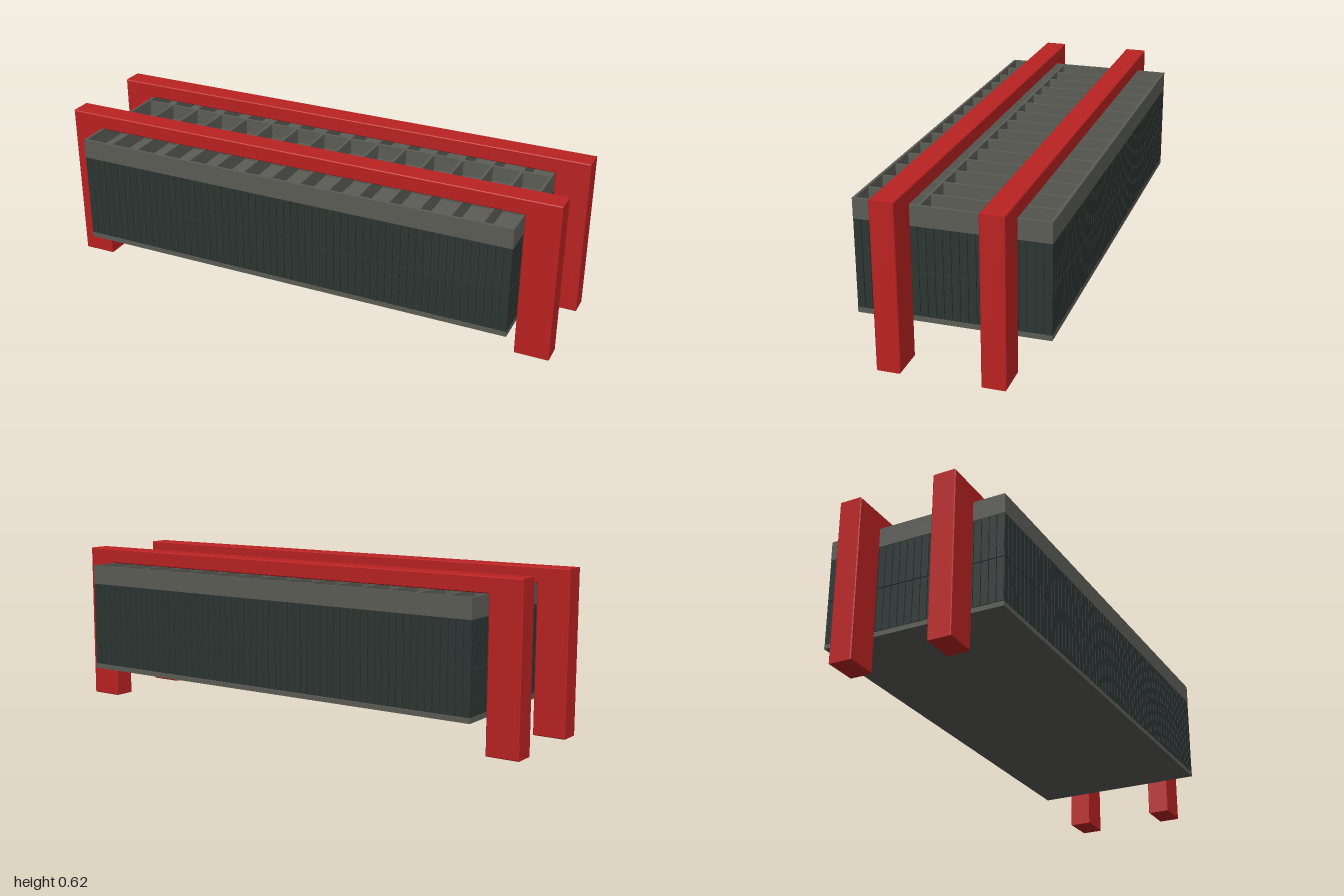
import * as THREE from 'three';
import { mergeGeometries } from 'three/addons/utils/BufferGeometryUtils.js';

const red = new THREE.MeshStandardMaterial({ name: 'frame red', color: 0xbb2222 });
const concrete = new THREE.MeshStandardMaterial({ name: 'concrete grey', color: 0x5d5d57 });
const glass = new THREE.MeshStandardMaterial({ name: 'dark glass', color: 0x2d3634 });

// Body extents, shared by floor, walls and roof
const W = 1.744, D = 0.698;
const FLOOR = 0.137, SILL = 0.155, EAVE = 0.488, TOP = 0.563;

function box(w, h, d, x, y, z) {
  return new THREE.BoxGeometry(w, h, d).translate(x, y, z);
}

function part(name, geometry, material) {
  const mesh = new THREE.Mesh(geometry, material);
  mesh.name = name;
  return mesh;
}

// Portal frame: two legs and a beam in one outline with a tiny chamfer
function portalGeometry() {
  const s = new THREE.Shape([
    [-1, 0], [-0.874, 0], [-0.874, TOP], [0.87, TOP], [0.87, 0],
    [1, 0], [1, 0.621], [-1, 0.621],
  ].map(([x, y]) => new THREE.Vector2(x, y)));
  const b = 0.003, depth = 0.087;
  return new THREE.ExtrudeGeometry(s, {
    depth: depth - 2 * b, bevelEnabled: true, bevelSegments: 1,
    bevelSize: b, bevelThickness: b, bevelOffset: -b,
  }).translate(0, 0, -depth / 2 + b);
}

// Two rows of narrow glass panels along a wall facing +z
function panelRow(length, count, offset) {
  const step = length / count, gap = 0.003, t = 0.006;
  const mid = 0.321, list = [];
  for (const [y0, y1] of [[SILL, mid], [mid, EAVE]]) {
    for (let i = 0; i < count; i++) {
      list.push(box(step - gap, y1 - y0 - gap, t,
        -length / 2 + (i + 0.5) * step, (y0 + y1) / 2, offset - t / 2));
    }
  }
  return mergeGeometries(list);
}

// Open coffered roof: bottom slab, rim and a grid of ribs
function roofGeometry() {
  const t = 0.01, slab = 0.012, h = TOP - EAVE, y = (TOP + EAVE) / 2;
  const list = [box(W, slab, D, 0, EAVE + slab / 2, 0)];
  for (const s of [-1, 1]) {
    list.push(box(W, h, t, 0, y, s * (D - t) / 2));
    list.push(box(t, h, D - 2 * t, s * (W - t) / 2, y, 0));
    list.push(box(W - 2 * t, h - 0.004, t, 0, y - 0.002, s * D / 6));
  }
  for (let i = 1; i < 15; i++) {
    list.push(box(t, h - 0.004, D - 2 * t, -W / 2 + i * W / 15, y - 0.002, 0));
  }
  return mergeGeometries(list);
}

export function createModel() {
  const model = new THREE.Group();
  model.name = 'pavilion';

  const portal = portalGeometry();
  for (const [name, z] of [['frontFrame', 0.187], ['backFrame', -0.187]]) {
    const mesh = part(name, portal, red);
    mesh.position.z = z;
    model.add(mesh);
  }

  const body = new THREE.Group();
  body.name = 'body';
  body.position.set(-0.002, 0, 0.001);
  body.add(part('floorSlab', box(W, SILL - FLOOR, D, 0, (SILL + FLOOR) / 2, 0), concrete));
  body.add(part('roof', roofGeometry(), concrete));

  // Solid core behind the panel joints
  body.add(part('wallCore',
    box(W - 0.012, EAVE - SILL, D - 0.012, 0, (EAVE + SILL) / 2, 0), glass));

  const longWall = panelRow(W, 60, D / 2), endWall = panelRow(D, 24, W / 2);
  [['frontGlazing', longWall, 0], ['leftGlazing', endWall, 1],
    ['backGlazing', longWall, 2], ['rightGlazing', endWall, 3]].forEach(([name, geo, turn]) => {
    const wall = part(name, geo, glass);
    wall.rotation.y = turn * Math.PI / 2;
    body.add(wall);
  });

  model.add(body);
  return model;
}
